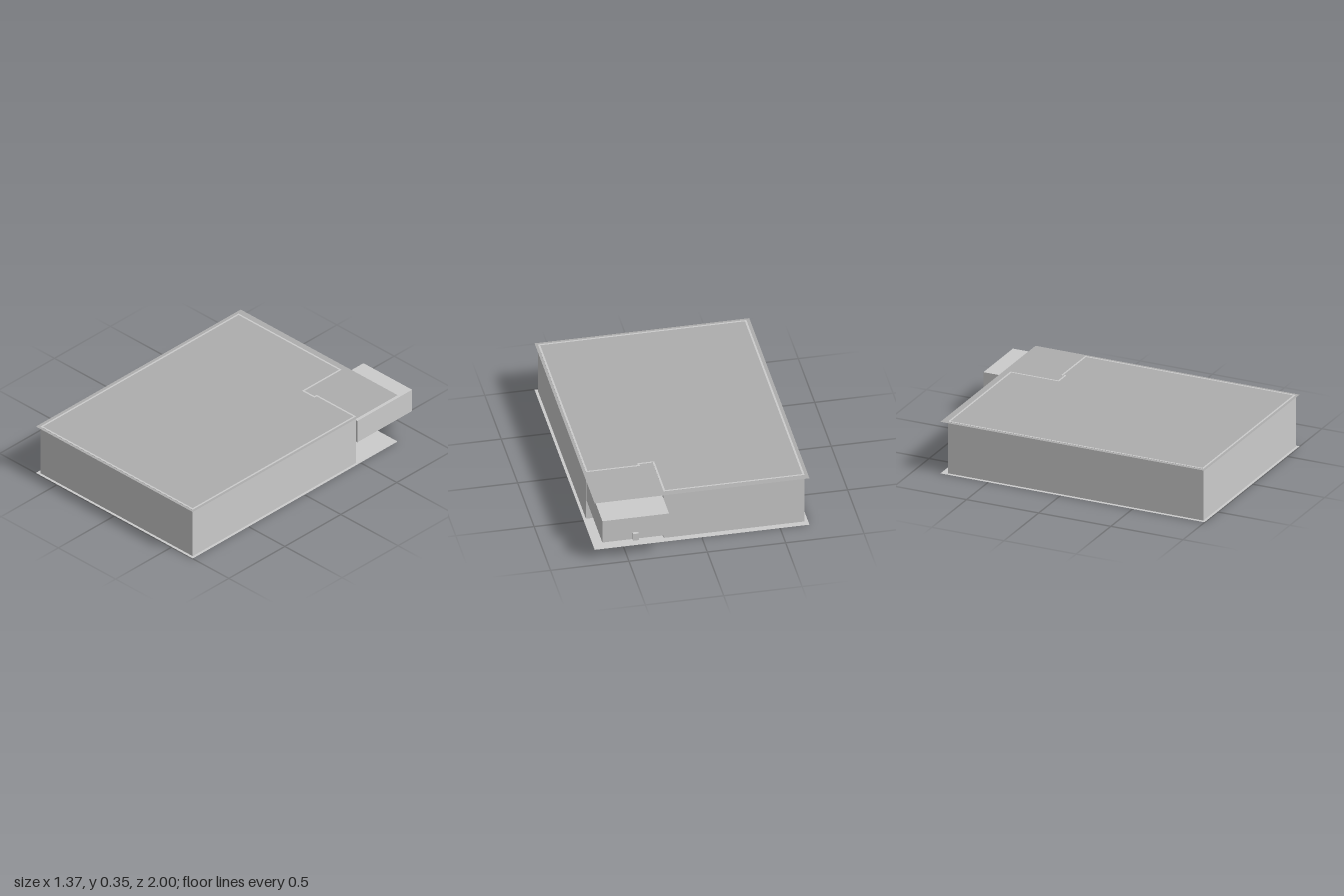
import * as THREE from 'three';

const HEIGHT = 0.35;

// Plan of the walls in x and z, pulled inwards by t, with the notch at the back corner
function wallOutline(t) {
  return [
    [-0.665 + t, 0.98 - t], [0.665 - t, 0.98 - t], [0.665 - t, -0.48 + t],
    [0.32 + t, -0.48 + t], [0.32 + t, -0.46 + t], [0.235 - t, -0.46 + t],
    [0.235 - t, -0.79 + t], [-0.665 + t, -0.79 + t],
  ].map(([x, z]) => new THREE.Vector2(x, z));
}

export function createModel() {
  const model = new THREE.Group();
  model.name = 'building';

  const grey = new THREE.MeshStandardMaterial({ color: 0xcccccc });
  const sheetGrey = new THREE.MeshStandardMaterial({ color: 0xcccccc, side: THREE.DoubleSide });
  const roofGrey = new THREE.MeshStandardMaterial({ color: 0xadadad, side: THREE.DoubleSide });

  function add(name, geometry, material, parent = model) {
    const mesh = new THREE.Mesh(geometry, material);
    mesh.name = name;
    parent.add(mesh);
    return mesh;
  }

  // Box given by its lowest and highest corners
  function addBox(name, [x0, y0, z0], [x1, y1, z1], parent) {
    const mesh = add(name, new THREE.BoxGeometry(x1 - x0, y1 - y0, z1 - z0), grey, parent);
    mesh.position.set((x0 + x1) / 2, (y0 + y1) / 2, (z0 + z1) / 2);
  }

  // Flat sheet that overhangs the walls
  function addSheet(name, y, material) {
    const geometry = new THREE.PlaneGeometry(1.37, 1.83).rotateX(-Math.PI / 2);
    add(name, geometry, material).position.set(-0.002, y, 0.083);
  }

  // Walls: a thin shell around the plan
  const plan = new THREE.Shape(wallOutline(0));
  plan.holes.push(new THREE.Path(wallOutline(0.012)));
  const walls = new THREE.ExtrudeGeometry(plan, { depth: HEIGHT, bevelEnabled: false });
  walls.rotateX(Math.PI / 2).translate(0, HEIGHT, 0);
  add('walls', walls, grey);

  // Floor and roof
  addSheet('floor', 0, sheetGrey);
  addSheet('roof', HEIGHT - 0.001, roofGrey);

  // Raised annex in the notch, with a small fitting on its back
  addBox('annex', [0.24, 0.15, -0.98], [0.665, 0.31, -0.49]);
  addBox('annexFitting', [0.437, 0.15, -1.0], [0.473, 0.2, -0.98]);

  // Furniture blocks standing on the floor: x, z, width, depth
  const furniture = new THREE.Group();
  furniture.name = 'furniture';
  model.add(furniture);
  [
    [0.13, 0.65, 0.2, 0.2], [0.39, -0.15, 0.16, 0.12], [0.11, -0.16, 0.16, 0.16],
    [-0.02, -0.6, 0.3, 0.08], [-0.4, -0.59, 0.1, 0.1], [-0.38, -0.08, 0.16, 0.14],
    [-0.22, 0.47, 0.16, 0.18], [-0.145, 0.24, 0.2, 0.1], [0.22, 0.1, 0.14, 0.14],
  ].forEach(([x, z, w, d]) => {
    addBox('furnitureBlock', [x - w / 2, 0, z - d / 2], [x + w / 2, 0.08, z + d / 2], furniture);
  });

  return model;
}
